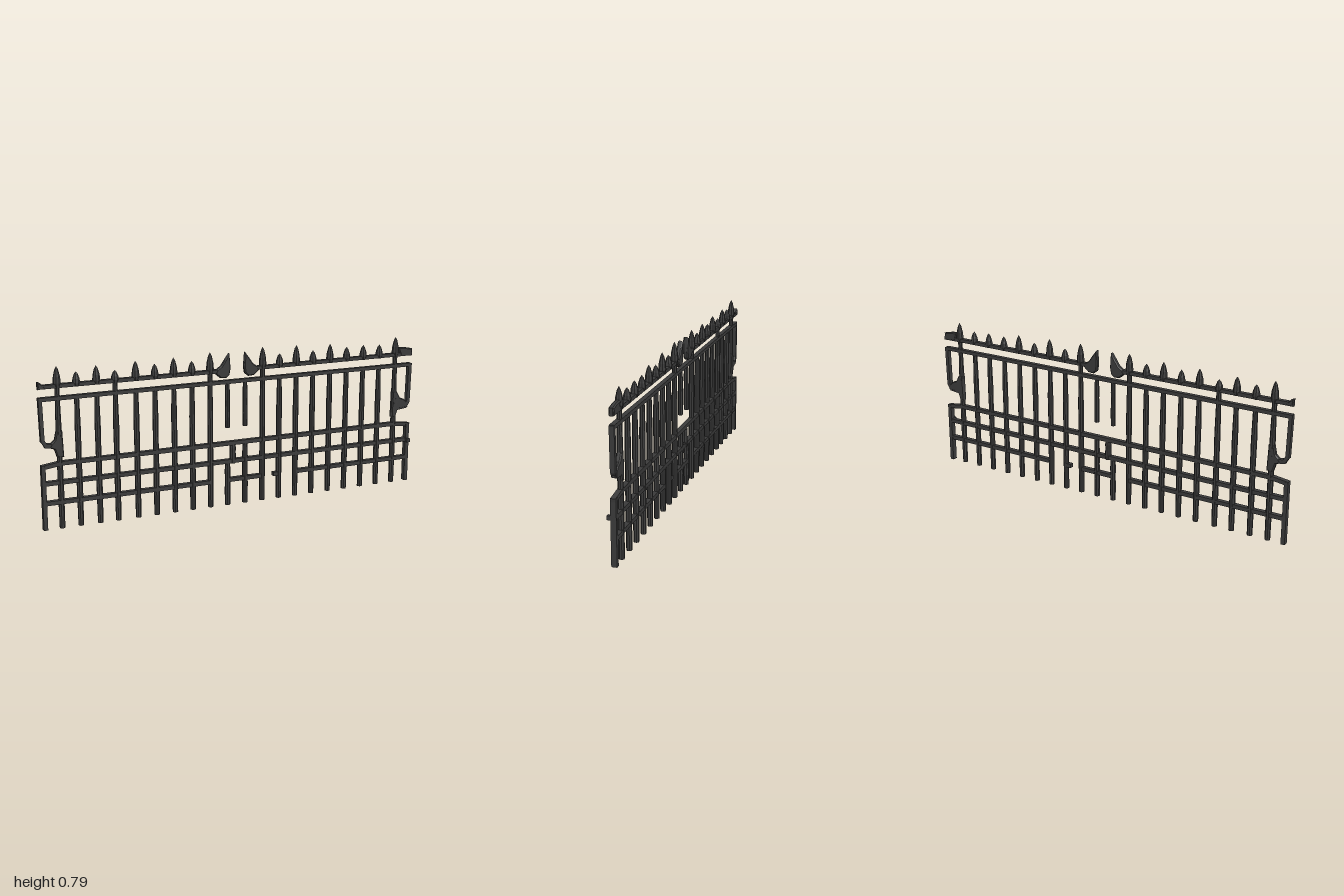
import * as THREE from 'three';

const iron = new THREE.MeshStandardMaterial({ color: 0x3b3b3b, flatShading: true });
iron.name = 'dark iron';

const DEPTH = 0.027;

export function createModel() {
  const model = new THREE.Group();
  model.name = 'fence';
  // The panel runs very slightly askew
  const panel = new THREE.Group();
  panel.name = 'panel';
  panel.rotation.y = 0.006;
  model.add(panel);

  const add = (name, geometry) => {
    const mesh = new THREE.Mesh(geometry, iron);
    mesh.name = name;
    panel.add(mesh);
    return mesh;
  };

  // Eight-sided forged rod from [halfWidth, y] pairs
  const rod = (name, x, profile) => {
    const points = profile.map(([r, y]) => new THREE.Vector2(r, y));
    const geometry = new THREE.LatheGeometry(points, 8, Math.PI / 8);
    return add(name, geometry.translate(x, 0, 0));
  };

  const bar = (x, y0, y1, w = 0.0135) => rod('bar', x, [
    [0, y0], [w, y0], [w * 1.1, y0 + (y1 - y0) * 0.3], [w, y0 + (y1 - y0) * 0.55],
    [w * 1.08, y0 + (y1 - y0) * 0.75], [w * 0.85, y1], [0, y1]]);

  // Square beam between two points of the panel
  const beam = (name, x0, y0, x1, y1, h = 0.02, d = 0.024) => {
    const geometry = new THREE.BoxGeometry(Math.hypot(x1 - x0, y1 - y0), h, d);
    geometry.rotateZ(Math.atan2(y1 - y0, x1 - x0));
    return add(name, geometry.translate((x0 + x1) / 2, (y0 + y1) / 2, 0));
  };

  // Flat bevelled ornament from an outline; side mirrors it
  const plate = (name, outline, side) => {
    const points = outline.map(([x, y]) => new THREE.Vector2(x * side, y));
    const geometry = new THREE.ExtrudeGeometry(new THREE.Shape(points), {
      depth: 0.014, bevelThickness: 0.006, bevelSize: 0.005, bevelOffset: -0.005, bevelSegments: 1 });
    return add(name, geometry.translate(0, 0, -0.007));
  };

  // Upright bars with spear points: [x, tip height, joined to top rail]
  const uprights = [
    [-0.905, 0.785, 1], [-0.813, 0.752], [-0.716, 0.772], [-0.625, 0.742, 1], [-0.523, 0.777],
    [-0.427, 0.755], [-0.331, 0.777], [-0.237, 0.752], [-0.142, 0.787, 1],
    [0.14, 0.793, 1], [0.233, 0.752], [0.326, 0.787], [0.42, 0.752], [0.517, 0.777],
    [0.613, 0.755], [0.71, 0.757], [0.805, 0.752], [0.902, 0.785, 1],
  ];
  for (const [x, tip, joined] of uprights) {
    bar(x, 0, 0.633);
    if (joined) rod('neck', x, [[0.012, 0.62], [0.012, 0.69]]);
    const h = tip - 0.685;
    rod('spearPoint', x, [[0, 0.682], [0.014, 0.682], [0.019, 0.685 + h * 0.2],
      [0.0165, 0.685 + h * 0.5], [0.009, 0.685 + h * 0.82], [0, tip]]);
  }

  // Broken middle bars
  bar(-0.05, 0.4, 0.633, 0.0115);
  bar(0.045, 0.4, 0.633, 0.0115);
  bar(-0.05, 0, 0.235);
  bar(-0.022, 0.215, 0.32, 0.015);
  bar(0.045, 0, 0.32, 0.0135);

  // Horizontal rails
  for (const s of [-1, 1]) {
    beam('topRail', s * 0.09, 0.69, s * 0.998, 0.692, 0.018);
    beam('railEnd', s * 0.9, 0.32, s * 0.997, 0.307);
  }
  beam('upperRail', -0.998, 0.633, 0.994, 0.633, 0.018);
  beam('middleRail', -0.905, 0.32, 0.905, 0.32);
  beam('lowerRail', -0.995, 0.227, 0.99, 0.227);
  for (const [x0, x1] of [[-0.99, -0.135], [-0.05, 0.14], [0.2, 0.235], [0.326, 0.99]])
    beam('bottomRail', x0, 0.13, x1, 0.13);

  // End posts
  for (const x of [-0.988, 0.986]) beam('endPost', x, 0, x, 0.315, 0.02, DEPTH);
  // Small knob projecting forward from the right-hand end
  add('railKnob', new THREE.BoxGeometry(0.018, 0.02, 0.025).translate(0.986, 0.225, 0.018));

  // Hooked arms below the upper rail
  for (const s of [-1, 1]) {
    beam('hookArm', s * 0.99, 0.64, s * 0.985, 0.43, 0.018);
    beam('hookBend', s * 0.985, 0.436, s * 0.968, 0.408, 0.018);
    beam('hookFoot', s * 0.976, 0.412, s * 0.9, 0.402, 0.02);
  }
  plate('hookBracket', [[0.885, 0.35], [0.918, 0.35], [0.93, 0.39], [0.955, 0.4],
    [0.945, 0.42], [0.928, 0.435], [0.918, 0.48], [0.89, 0.48]], -1);
  plate('hookBracket', [[0.885, 0.36], [0.912, 0.36], [0.925, 0.4], [0.985, 0.405],
    [0.98, 0.43], [0.96, 0.45], [0.935, 0.46], [0.915, 0.495], [0.888, 0.495]], 1);

  // Curled leaves either side of the central gap
  const leaf = [[0.042, 0.775], [0.036, 0.7], [0.042, 0.668], [0.06, 0.654], [0.09, 0.656],
    [0.118, 0.68], [0.108, 0.7], [0.085, 0.715], [0.068, 0.74]];
  for (const s of [-1, 1]) plate('leaf', leaf, s);

  // Broken stubs at the ends of the top rail
  plate('railStub', [[0.93, 0.685], [0.998, 0.68], [1.0, 0.718], [0.95, 0.728], [0.915, 0.728]], 1);
  plate('railStub', [[0.96, 0.685], [0.998, 0.68], [1.0, 0.718], [0.985, 0.712]], -1);

  return model;
}
